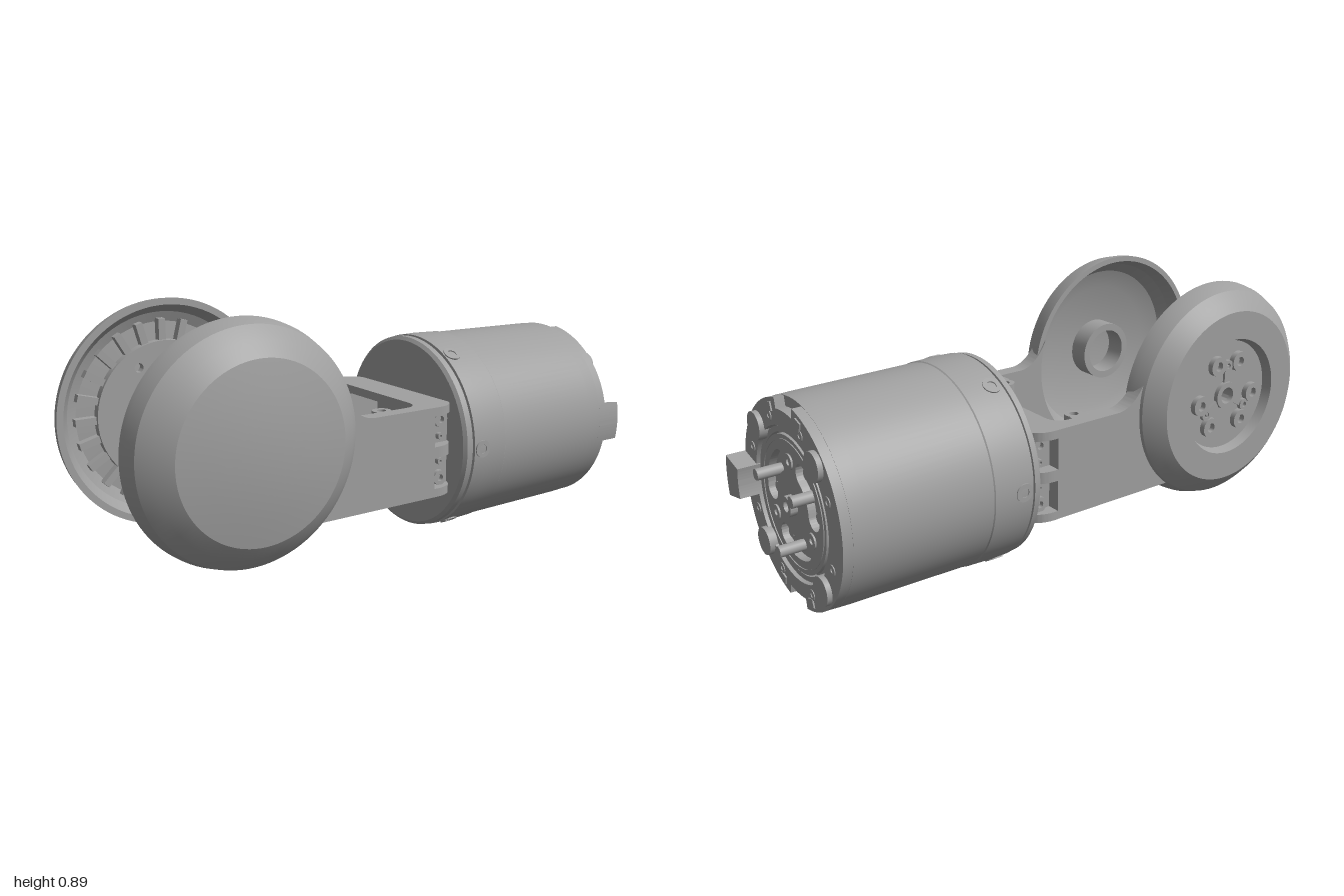
import * as THREE from 'three';
import { toCreasedNormals } from 'three/addons/utils/BufferGeometryUtils.js';

const grey = new THREE.MeshStandardMaterial({ color: 0xa0a0a0 });
grey.name = 'machinedGrey';

function add(parent, name, geo, x = 0, y = 0, z = 0) {
  const m = new THREE.Mesh(geo, grey);
  m.name = name;
  m.position.set(x, y, z);
  parent.add(m);
  return m;
}
function group(parent, name, x, y, z) {
  const g = new THREE.Group();
  g.name = name;
  g.position.set(x, y, z);
  parent.add(g);
  return g;
}
// Solid of revolution about z, from [radius, z] pairs listed anticlockwise
function turned(pairs, segs = 72) {
  const geo = new THREE.LatheGeometry(pairs.map(p => new THREE.Vector2(p[0], p[1])), segs);
  geo.rotateX(Math.PI / 2);
  return toCreasedNormals(geo, 0.35);
}
const ring = (r0, r1, h, segs = 24) => turned([[r0, 0], [r1, 0], [r1, h], [r0, h], [r0, 0]], segs);
const rod = (r, h) => new THREE.CylinderGeometry(r, r, h, 24).rotateX(Math.PI / 2).translate(0, 0, h / 2);
function extrude(shape, depth) {
  const geo = new THREE.ExtrudeGeometry(shape, { depth, bevelEnabled: false, curveSegments: 32 });
  return toCreasedNormals(geo, 0.4);
}
function hole(shape, x, y, r) {
  const p = new THREE.Path();
  p.absarc(x, y, r, 0, Math.PI * 2, true);
  shape.holes.push(p);
}
function disc(r) {
  const s = new THREE.Shape();
  s.absarc(0, 0, r, 0, Math.PI * 2, false);
  return s;
}
function sector(r0, r1, a0, a1) {
  const s = new THREE.Shape();
  s.absarc(0, 0, r1, a0, a1, false);
  s.absarc(0, 0, r0, a1, a0, true);
  s.closePath();
  return s;
}
const polar = (r, a) => [r * Math.cos(a), r * Math.sin(a)];

// Half of the U bracket section; k mirrors it, s0 is where it starts from the middle
function bracketHalf(k, s0, notch) {
  const s = new THREE.Shape();
  s.moveTo(0.23, k * s0);
  s.lineTo(0.23, k * 0.22);
  if (notch) {
    s.lineTo(0.22, k * 0.26);
    s.lineTo(0.13, k * 0.26);
    s.lineTo(0.13, k * 0.3075);
  } else {
    s.quadraticCurveTo(0.23, k * 0.3075, 0.14, k * 0.3075);
  }
  s.lineTo(-0.13, k * 0.3075);
  s.lineTo(-0.13, k * 0.2525);
  s.lineTo(0.04, k * 0.2525);
  s.quadraticCurveTo(0.1, k * 0.2525, 0.1, k * 0.19);
  s.lineTo(0.1, k * s0);
  s.closePath();
  return s;
}

function buildBracket(root) {
  const g = group(root, 'bracket', 0, 0, -0.0325);
  // Layers in height: [bottom, top, corner pockets, bridge window]
  const layers = [[0.2, 0.23, false, false], [0.23, 0.34, true, true], [0.34, 0.38, false, true],
    [0.38, 0.49, true, true], [0.49, 0.52, false, false]];
  // Web that flares from the arm into the wheel rim
  const flare = new THREE.Shape();
  flare.moveTo(-0.13, 0.2);
  flare.lineTo(-0.13, 0.52);
  flare.quadraticCurveTo(-0.2, 0.525, -0.245, 0.615);
  flare.absarc(-0.6, 0.495, 0.374, 0.33, -0.91, true);
  flare.closePath();
  for (const k of [1, -1]) {
    for (const [y0, y1, notch, windowed] of layers) {
      const geo = extrude(bracketHalf(k, windowed ? 0.16 : 0, notch), y1 - y0);
      add(g, 'armAndBridge', geo.rotateX(Math.PI / 2), 0, y1, 0);
    }
    add(g, 'armFlare', extrude(flare, 0.055), 0, 0, k > 0 ? 0.2525 : -0.3075);
    // Pocket screws and small dowels
    for (const [y, r] of [[0.465, 0.027], [0.255, 0.027], [0.405, 0.012], [0.315, 0.012]]) {
      const screw = add(g, 'pocketScrew', ring(r * 0.45, r, 0.018), 0.18, y, k * 0.259);
      if (k < 0) screw.rotation.y = Math.PI;
    }
    // Cable eyelets inside the arms
    for (const y of [0.23, 0.49]) {
      add(g, 'eyelet', ring(0.016, 0.034, 0.04).rotateX(Math.PI / 2), -0.02, y + 0.02, k * 0.2);
      add(g, 'eyeletWeb', new THREE.BoxGeometry(0.068, 0.04, 0.035), -0.02, y, k * 0.238);
    }
  }
}

function buildFrontCap(root) {
  const g = group(root, 'frontCap', -0.6, 0.495, 0);
  add(g, 'domedShell', turned([[0, 0.365], [0.25, 0.35], [0.32, 0.32], [0.355, 0.28], [0.375, 0.225],
    [0.395, 0.225], [0.393, 0.25], [0.38, 0.3], [0.34, 0.341], [0.29, 0.375],
    [0.2, 0.39], [0.1, 0.4], [0, 0.403]], 96));
  add(g, 'bearingBoss', ring(0.085, 0.112, 0.09, 48), 0, 0, 0.28);
}

function buildBackWheel(root) {
  const g = group(root, 'backWheel', -0.6, 0.495, 0);
  g.rotation.y = Math.PI; // local +z is the outer side
  add(g, 'wheelShell', turned([[0.03, 0.32], [0.31, 0.335], [0.345, 0.32], [0.372, 0.28], [0.395, 0.28],
    [0.391, 0.31], [0.375, 0.35], [0.345, 0.38], [0.312, 0.405], [0.212, 0.405], [0.2, 0.372],
    [0.03, 0.372], [0.03, 0.32]], 96));
  // Inner drive plate with drilled holes
  const plate = disc(0.25);
  hole(plate, 0, 0, 0.032);
  for (let i = 0; i < 6; i++) {
    hole(plate, ...polar(0.12, i * Math.PI / 3 + 0.25), 0.02);
    if (i % 2) hole(plate, ...polar(0.19, i * Math.PI / 3), 0.016);
  }
  add(g, 'drivePlate', extrude(plate, 0.03), 0, 0, 0.292);
  for (let i = 0; i < 24; i++) {
    const a = i * Math.PI / 12;
    const tooth = add(g, 'ribTooth', new THREE.BoxGeometry(0.075, 0.025, 0.03), ...polar(0.285, a), 0.318);
    tooth.rotation.z = a;
  }
  // Outer hub, its three spokes and screw bosses
  add(g, 'hub', ring(0.03, 0.05, 0.018), 0, 0, 0.37);
  for (let i = 0; i < 3; i++) {
    const a = Math.PI / 2 + i * Math.PI * 2 / 3;
    const spoke = add(g, 'hubSpoke', new THREE.BoxGeometry(0.07, 0.022, 0.01), ...polar(0.075, a), 0.376);
    spoke.rotation.z = a;
    add(g, 'spokeScrew', ring(0.01, 0.022, 0.016), ...polar(0.11, a), 0.37);
    for (const d of [-0.42, 0.42])
      add(g, 'wheelScrew', ring(0.017, 0.036, 0.022), ...polar(0.13, a + d), 0.37);
  }
}

function buildMotor(root) {
  const g = group(root, 'motor', 0, 0.36, -0.028);
  g.rotation.y = Math.PI / 2; // local +z is the output end
  add(g, 'housing', turned([[0.018, 0.225], [0.34, 0.225], [0.352, 0.235], [0.353, 0.255], [0.347, 0.257],
    [0.347, 0.263], [0.356, 0.265], [0.357, 0.32], [0.354, 0.408], [0.351, 0.412], [0.345, 0.85],
    [0.343, 0.9], [0.018, 0.9], [0.018, 0.225]], 96));
  // End plate with notches above and below
  const n = 0.18, q = Math.PI / 2;
  const end = new THREE.Shape();
  end.absarc(0, 0, 0.342, -q + n, q - n, false);
  end.absarc(0, 0, 0.308, q - n, q + n, false);
  end.absarc(0, 0, 0.342, q + n, 3 * q - n, false);
  end.absarc(0, 0, 0.308, 3 * q - n, 3 * q + n, false);
  end.closePath();
  hole(end, 0, 0, 0.255);
  add(g, 'endPlate', extrude(end, 0.035), 0, 0, 0.898);
  add(g, 'outerSeal', ring(0.232, 0.25, 0.024, 72), 0, 0, 0.898);
  add(g, 'keyTab', extrude(sector(0.25, 0.343, Math.PI - 0.21, Math.PI + 0.21), 0.1), 0, 0, 0.9);

  // Output plate with three curved slots
  const face = disc(0.226);
  hole(face, 0, 0, 0.018);
  const slots = [q / 3, 5 * q / 3, 3 * q];
  for (const a of slots) {
    const s = new THREE.Path(), h = 0.5, r = 0.145, w = 0.036;
    s.absarc(0, 0, r + w, a - h, a + h, false);
    s.absarc(...polar(r, a + h), w, a + h, a + h + Math.PI, false);
    s.absarc(0, 0, r - w, a + h, a - h, true);
    s.absarc(...polar(r, a - h), w, a - h + Math.PI, a - h + 2 * Math.PI, false);
    face.holes.push(s);
    add(g, 'drivePin', rod(0.019, 0.09), ...polar(r, a), 0.898);
    for (const d of [-h, h]) add(g, 'slotStud', rod(0.018, 0.012), ...polar(r, a + d), 0.898);
    add(g, 'faceScrew', ring(0.011, 0.026, 0.008), ...polar(r, a + Math.PI), 0.924);
  }
  add(g, 'outputPlate', extrude(face, 0.028), 0, 0, 0.898);
  add(g, 'outputLip', ring(0.208, 0.212, 0.004, 72), 0, 0, 0.925);
  add(g, 'hollowShaft', ring(0.018, 0.034, 0.03), 0, 0, 0.92);

  // Lugs and small screws on the rim
  for (const sx of [-1, 1]) for (const sy of [-1, 1]) {
    add(g, 'roundLug', rod(0.048, 0.05), sx * 0.203, sy * 0.203, 0.9);
    add(g, 'rimScrew', ring(0.008, 0.018, 0.006), sx * 0.264, sy * 0.11, 0.93);
    add(g, 'rimScrew', ring(0.008, 0.018, 0.006), sx * 0.108, sy * 0.265, 0.93);
    const pad = add(g, 'rimPad', new THREE.BoxGeometry(0.034, 0.03, 0.008), sx * 0.1, sy * 0.297, 0.934);
    pad.rotation.z = -sx * sy * 0.3;
  }
  // Six radial housing screws
  for (let i = 0; i < 6; i++) {
    const spin = group(g, 'housingScrew', 0, 0, 0.3);
    spin.rotation.z = i * Math.PI / 3;
    add(spin, 'screwRing', ring(0.016, 0.031, 0.01), 0.35, 0, 0).rotation.y = Math.PI / 2;
  }
}

export function createModel() {
  const root = new THREE.Group();
  root.name = 'motorBracketAssembly';
  buildFrontCap(root);
  buildBackWheel(root);
  buildBracket(root);
  buildMotor(root);
  // The wheel group is turned about its own axis, so mirror its x offset is not needed
  return root;
}
